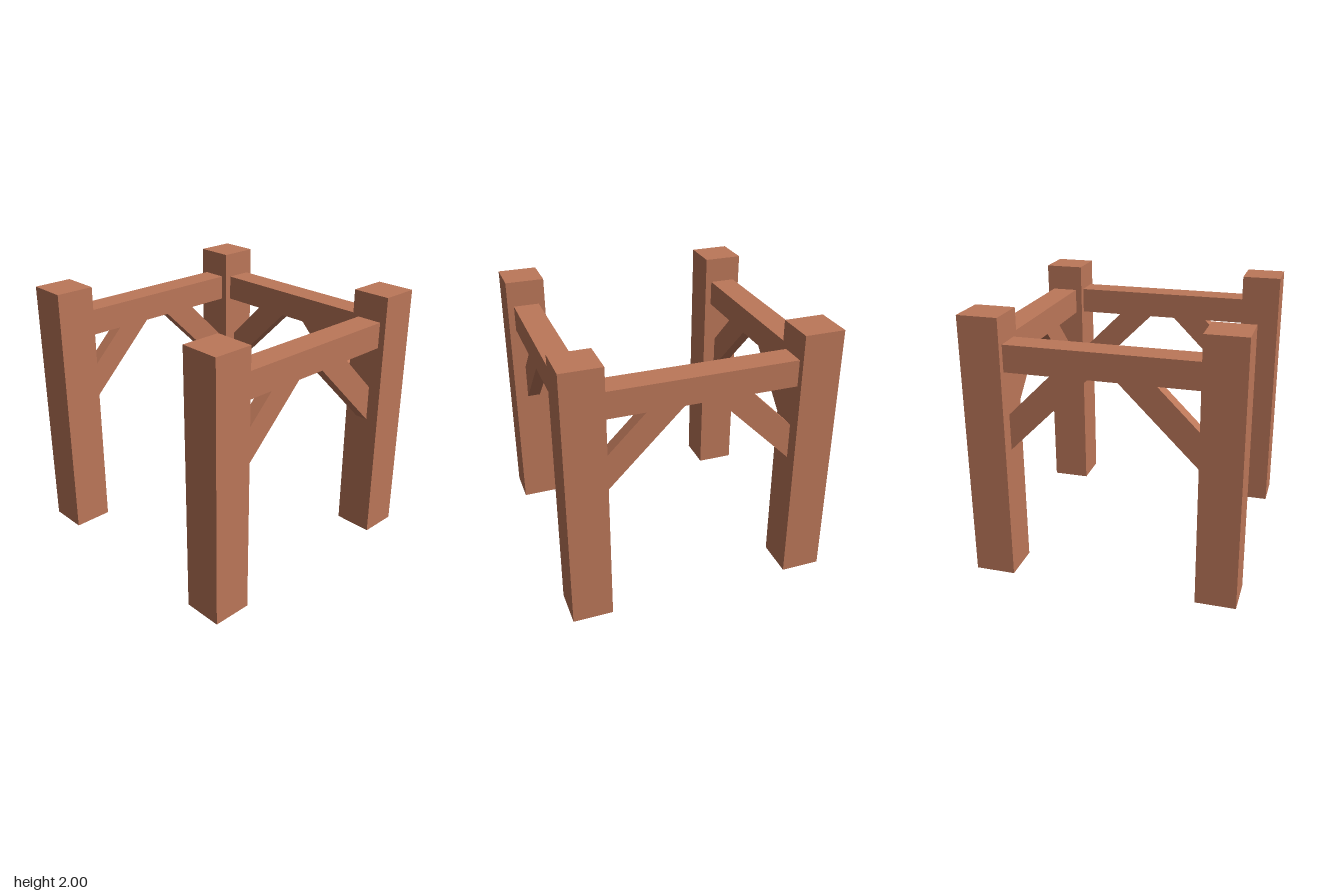
import * as THREE from 'three';

export function createModel() {
  const model = new THREE.Group();
  model.name = 'timberFrame';
  const wood = new THREE.MeshStandardMaterial({ color: 0xbc7759 });
  wood.name = 'wood';

  const add = (parent, name, geometry, x = 0, y = 0, z = 0) => {
    const mesh = new THREE.Mesh(geometry, wood);
    mesh.name = name;
    mesh.position.set(x, y, z);
    parent.add(mesh);
  };

  // Four square corner posts
  const postGeometry = new THREE.BoxGeometry(0.3, 2, 0.3);
  for (const x of [-0.85, 0.85])
    for (const z of [-0.85, 0.85]) add(model, 'post', postGeometry, x, 1, z);

  // Diagonal brace cut flush with the post and the beam
  const braceGeometry = (side) => {
    const points = [[0.7, 0.99], [0.7, 1.265], [0.365, 1.6], [0.09, 1.6]];
    const shape = new THREE.Shape(points.map(([x, y]) => new THREE.Vector2(x * side, y)));
    return new THREE.ExtrudeGeometry(shape, { depth: 0.1, bevelEnabled: false }).translate(0, 0, -0.05);
  };
  const beamGeometry = new THREE.BoxGeometry(1.4, 0.2, 0.2);
  const braces = [braceGeometry(-1), braceGeometry(1)];

  // One beam with two braces on the back, left and right; the front stays open
  const sides = [['backSpan', 0], ['rightSpan', Math.PI / 2], ['leftSpan', -Math.PI / 2]];
  for (const [name, angle] of sides) {
    const span = new THREE.Group();
    span.name = name;
    add(span, 'beam', beamGeometry, 0, 1.7, -0.85);
    for (const brace of braces) add(span, 'brace', brace, 0, 0, -0.85);
    span.rotation.y = angle;
    model.add(span);
  }
  return model;
}
